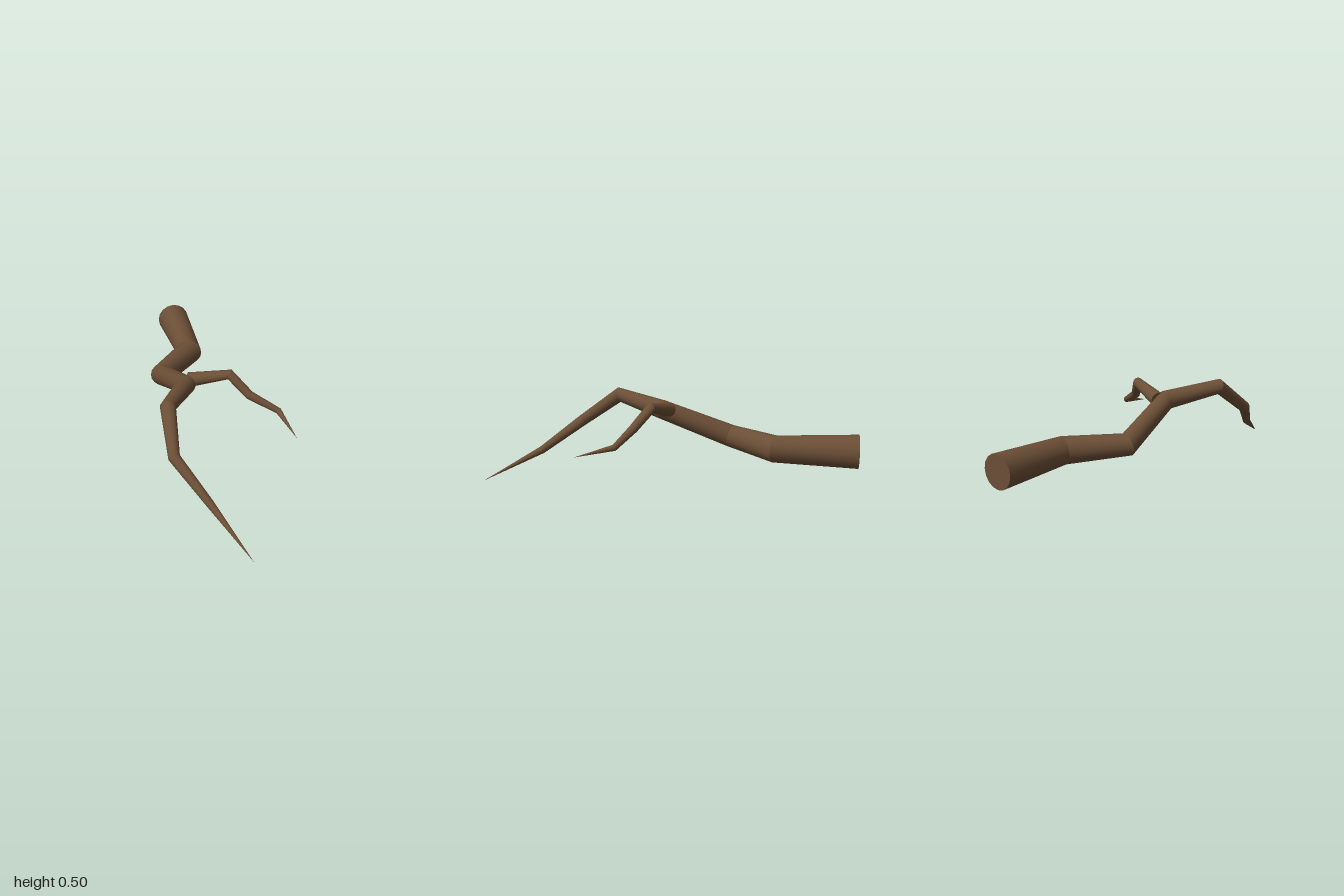
import * as THREE from 'three';

const SIDES = 16;

// Tapered limb through [x, y, z, radius] points, with mitred rings at the bends
function limb(points, material, name) {
  const centres = points.map(p => new THREE.Vector3(p[0], p[1], p[2]));
  const dirs = centres.slice(1).map((c, i) => c.clone().sub(centres[i]).normalize());
  const side = new THREE.Vector3(0, 1, 0);

  const rings = centres.map((c, i) => {
    const before = dirs[Math.max(i - 1, 0)];
    const after = dirs[Math.min(i, dirs.length - 1)];
    const axis = before.clone().add(after).normalize();
    side.addScaledVector(axis, -side.dot(axis)).normalize();
    const up = axis.clone().cross(side);
    return Array.from({ length: SIDES }, (_, k) => {
      const a = (k / SIDES) * Math.PI * 2;
      return c.clone()
        .addScaledVector(side, Math.cos(a) * points[i][3])
        .addScaledVector(up, Math.sin(a) * points[i][3]);
    });
  });

  const pos = [], index = [];
  const push = v => pos.push(v.x, v.y, v.z);

  // Each length has its own rings, so it is round with a crisp bend at each joint
  for (let s = 0; s < rings.length - 1; s++) {
    const base = pos.length / 3;
    rings[s].forEach(push);
    rings[s + 1].forEach(push);
    for (let k = 0; k < SIDES; k++) {
      const n = (k + 1) % SIDES;
      const a = base + k, b = base + n, c = a + SIDES, d = b + SIDES;
      index.push(a, b, d, a, d, c);
    }
  }

  // Flat cut end
  const hub = pos.length / 3;
  push(centres[0]);
  rings[0].forEach(push);
  for (let k = 0; k < SIDES; k++) index.push(hub, hub + 1 + ((k + 1) % SIDES), hub + 1 + k);

  const geo = new THREE.BufferGeometry();
  geo.setAttribute('position', new THREE.Float32BufferAttribute(pos, 3));
  geo.setIndex(index);
  geo.computeVertexNormals();
  const mesh = new THREE.Mesh(geo, material);
  mesh.name = name;
  return mesh;
}

export function createModel() {
  const group = new THREE.Group();
  group.name = 'branch';
  const bark = new THREE.MeshStandardMaterial({ color: 0x6b4e36 });
  bark.name = 'bark brown';

  // Main limb, from the cut end to the long tip
  group.add(limb([
    [0.325, 0.24, -0.972, 0.091],
    [0.215, 0.243, -0.548, 0.073],
    [-0.055, 0.26, -0.365, 0.061],
    [-0.095, 0.41, 0.01, 0.052],
    [-0.308, 0.459, 0.225, 0.041],
    [-0.38, 0.303, 0.43, 0.031],
    [-0.308, 0.154, 0.665, 0.021],
    [-0.245, 0.002, 0.995, 0],
  ], bark, 'mainLimb'));

  // Side twig, rooted inside the main limb at the fork
  group.add(limb([
    [-0.06, 0.415, -0.022, 0.04],
    [0.12, 0.461, 0.1, 0.028],
    [0.186, 0.367, 0.2, 0.024],
    [0.3, 0.297, 0.31, 0.017],
    [0.287, 0.25, 0.515, 0],
  ], bark, 'sideTwig'));

  return group;
}
